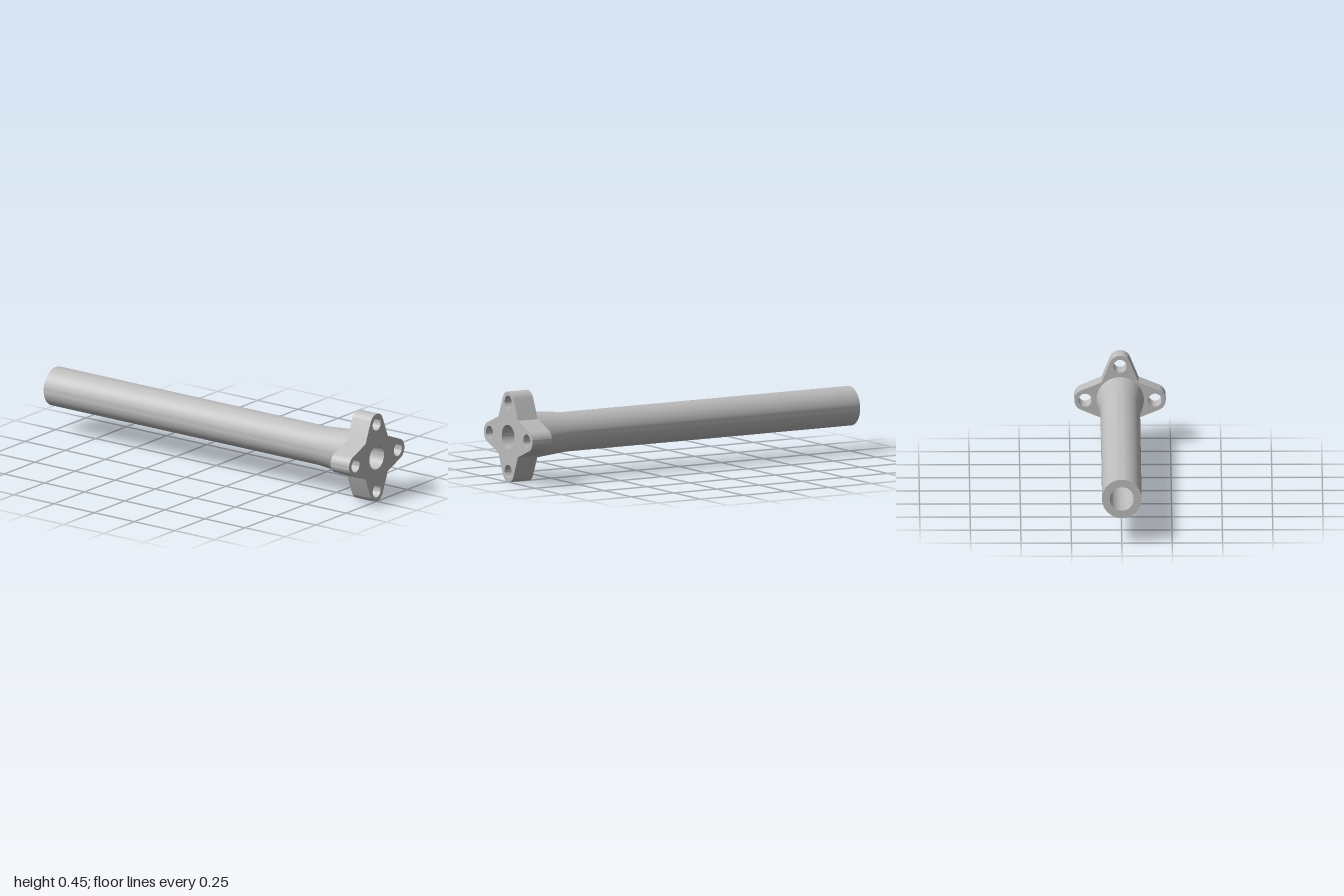
import * as THREE from 'three';
import { toCreasedNormals } from 'three/addons/utils/BufferGeometryUtils.js';

const CENTER_Y = 0.2275;
const BORE = 0.06;
const FLANGE_BACK = 0.885;
const CREASE = 0.4;

function circleHole(x, y, r) {
  return new THREE.Path().absarc(x, y, r, 0, Math.PI * 2, true);
}

// Four-lobed plate: rounded lobes joined by straight flanks meeting in notches
function flangeGeometry() {
  const reach = 0.1735, lobe = 0.0535, hole = 0.033, notch = 0.0915;
  const dist = Math.hypot(notch, reach - notch);
  const half = Math.PI / 2 + Math.atan2(reach - notch, notch) - Math.acos(lobe / dist);
  const shape = new THREE.Shape();
  for (let k = 0; k < 4; k++) {
    const a = k * Math.PI / 2, b = a + Math.PI / 4;
    const x = reach * Math.cos(a), y = reach * Math.sin(a);
    shape.absarc(x, y, lobe, a - half, a + half, false);
    shape.lineTo(notch * Math.SQRT2 * Math.cos(b), notch * Math.SQRT2 * Math.sin(b));
    shape.holes.push(circleHole(x, y, hole));
  }
  shape.holes.push(circleHole(0, 0, BORE));
  const geometry = new THREE.ExtrudeGeometry(shape, {
    depth: 1 - FLANGE_BACK, bevelEnabled: false, curveSegments: 32,
  });
  geometry.translate(0, 0, FLANGE_BACK);
  return toCreasedNormals(geometry, CREASE);
}

// Hollow shaft, flaring out towards the flange
function shaftGeometry() {
  const profile = [
    [BORE, FLANGE_BACK], [BORE, -1], [0.0985, -1], [0.0985, 0.67], [0.118, FLANGE_BACK],
  ].map(([r, z]) => new THREE.Vector2(r, z));
  const geometry = new THREE.LatheGeometry(profile, 64);
  geometry.rotateX(Math.PI / 2);
  return toCreasedNormals(geometry, CREASE);
}

export function createModel() {
  const steel = new THREE.MeshStandardMaterial({ color: 0xbdbdbd });
  steel.name = 'steel grey';
  const model = new THREE.Group();
  model.name = 'flangedShaft';
  const parts = { flange: flangeGeometry(), hollowShaft: shaftGeometry() };
  for (const [name, geometry] of Object.entries(parts)) {
    const mesh = new THREE.Mesh(geometry, steel);
    mesh.name = name;
    mesh.position.y = CENTER_Y;
    model.add(mesh);
  }
  return model;
}
